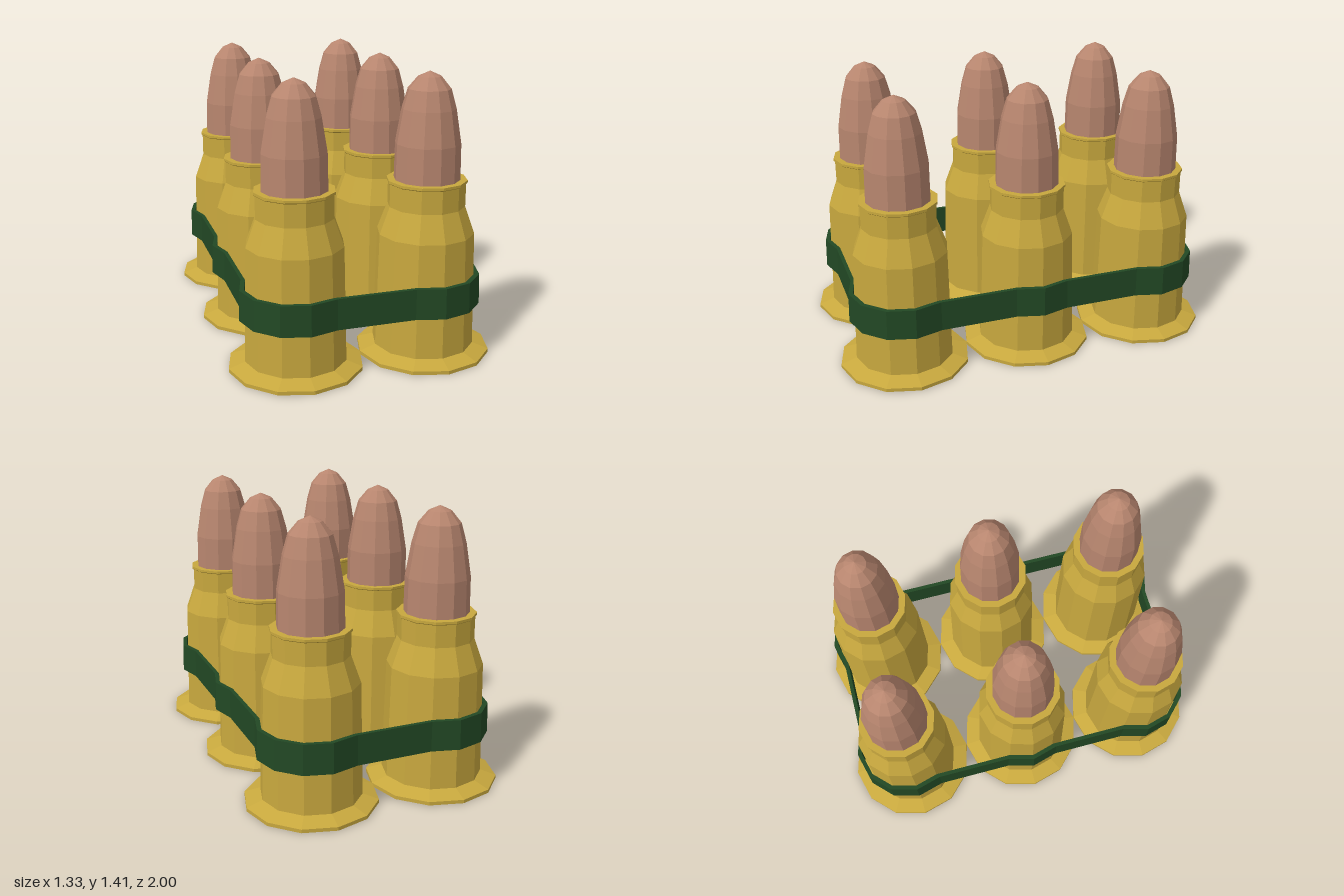
import * as THREE from 'three';

const SIDES = 12;
const X = 0.333, Z = 0.667; // spacing of the cartridge grid

const lathe = (points) => new THREE.LatheGeometry(points.map(([r, y]) => new THREE.Vector2(r, y)), SIDES);

// Closed band: a four-cornered section swept around the outer facets of the cases
function bandGeometry() {
  const section = [[0.277, 0.26], [0.273, 0.413], [0.25, 0.413], [0.254, 0.26]];
  const stops = [
    [X, 0, -30, 30], [X, Z, -30, 120], [-X, Z, 60, 210],
    [-X, 0, 150, 210], [-X, -Z, 150, 300], [X, -Z, 240, 390],
  ];
  const positions = [], index = [];
  for (const [cx, cz, from, to] of stops) {
    for (let deg = from; deg <= to; deg += 30) {
      const a = THREE.MathUtils.degToRad(deg);
      for (const [r, y] of section) positions.push(cx + r * Math.cos(a), y, cz + r * Math.sin(a));
    }
  }
  const count = positions.length / 12;
  for (let i = 0; i < count; i++) {
    const j = (i + 1) % count;
    for (let k = 0; k < 4; k++) {
      const m = (k + 1) % 4;
      const a = i * 4 + k, b = j * 4 + k, c = j * 4 + m, d = i * 4 + m;
      index.push(a, d, c, a, c, b);
    }
  }
  const geometry = new THREE.BufferGeometry();
  geometry.setAttribute('position', new THREE.Float32BufferAttribute(positions, 3));
  geometry.setIndex(index);
  geometry.computeVertexNormals();
  return geometry;
}

export function createModel() {
  const material = (name, color) => {
    const m = new THREE.MeshStandardMaterial({ color, flatShading: true });
    m.name = name;
    return m;
  };
  const brass = material('brass', 0xc8a83e);
  const copper = material('copper', 0xb8866f);
  const green = material('greenBand', 0x224824);

  // Case: rim, tapered body, shoulder, neck and lip
  const caseGeometry = lathe([
    [0, 0], [0.333, 0], [0.333, 0.018], [0.253, 0.045], [0.239, 0.62],
    [0.19, 0.755], [0.19, 0.868], [0.197, 0.873], [0.197, 0.886], [0.16, 0.886],
  ]);
  // Rounded tip
  const bulletGeometry = lathe([
    [0.162, 0.87], [0.159, 1.063], [0.131, 1.23], [0.104, 1.325], [0.056, 1.383], [0, 1.408],
  ]);

  const model = new THREE.Group();
  model.name = 'cartridgeBundle';
  const add = (parent, name, geometry, mat) => {
    const mesh = new THREE.Mesh(geometry, mat);
    mesh.name = name;
    parent.add(mesh);
  };

  // Two columns of three cartridges
  for (const x of [-X, X]) {
    for (const z of [-Z, 0, Z]) {
      const cartridge = new THREE.Group();
      cartridge.name = 'cartridge';
      cartridge.position.set(x, 0, z);
      add(cartridge, 'case', caseGeometry, brass);
      add(cartridge, 'bullet', bulletGeometry, copper);
      model.add(cartridge);
    }
  }

  add(model, 'band', bandGeometry(), green);
  return model;
}
